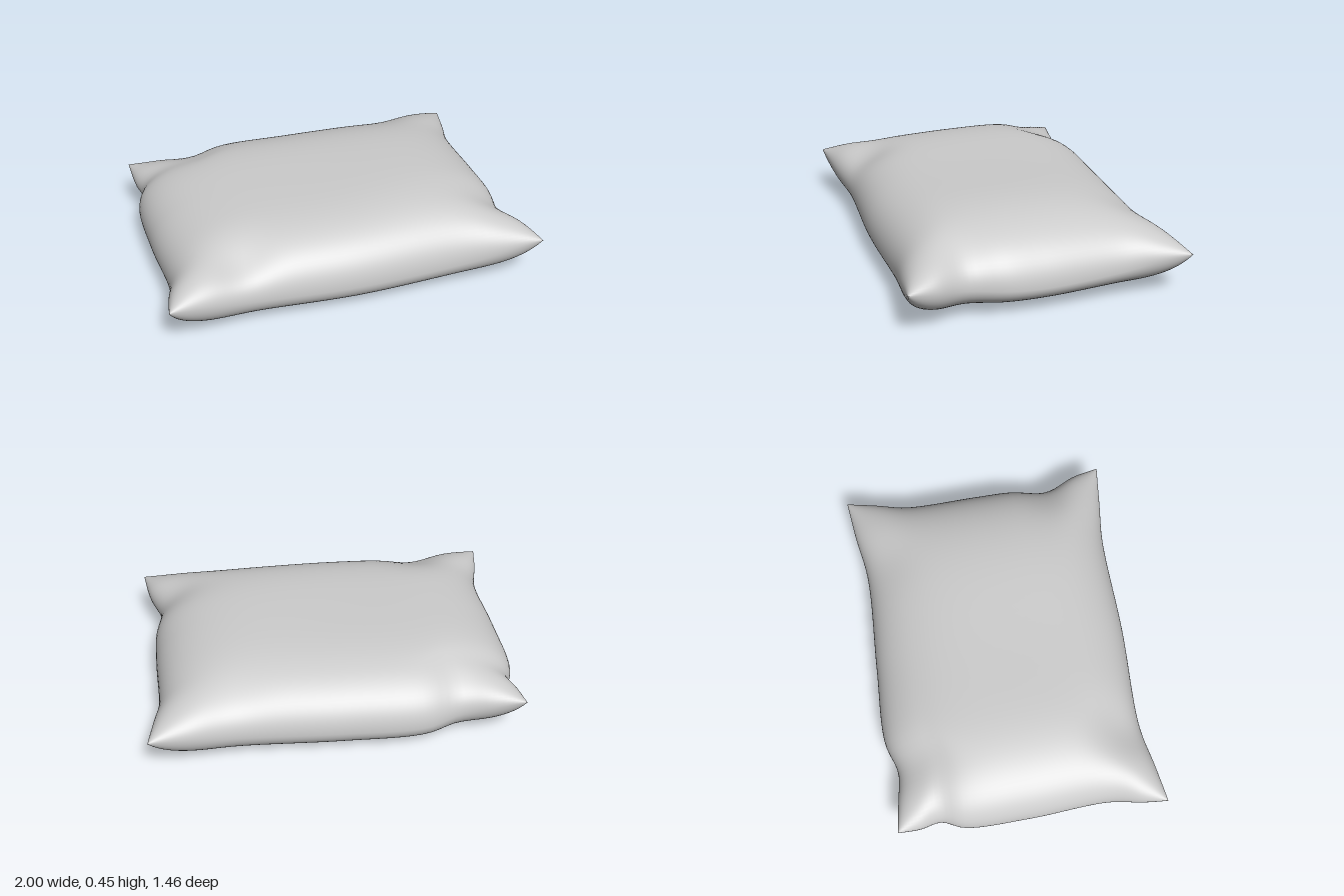
import * as THREE from 'three';
import { mergeVertices } from 'three/addons/utils/BufferGeometryUtils.js';

const N = 56; // grid cells per side of each cloth panel

const curve = (points) =>
  new THREE.CatmullRomCurve3(points.map((p) => new THREE.Vector3(...p)), false, 'centripetal');

// Seam between the two panels: pinched near the corners, raised at the tips
const BL = [-0.94, 0.25, -0.7], BR = [1, 0.24, -0.735], FL = [-1, 0.25, 0.725], FR = [0.99, 0.25, 0.725];
const back = curve([BL, [-0.78, 0.21, -0.68], [-0.6, 0.17, -0.66], [-0.42, 0.15, -0.71],
  [0, 0.15, -0.7], [0.55, 0.17, -0.68], [0.8, 0.21, -0.715], BR]);
const front = curve([FL, [-0.8, 0.21, 0.7], [-0.56, 0.17, 0.667], [0, 0.15, 0.687],
  [0.55, 0.16, 0.682], [0.78, 0.2, 0.705], FR]);
const leftEdge = curve([BL, [-0.93, 0.21, -0.58], [-0.905, 0.18, -0.47], [-0.95, 0.16, -0.35],
  [-0.955, 0.15, 0], [-0.94, 0.17, 0.42], [-0.98, 0.22, 0.6], FL]);
const rightEdge = curve([BR, [0.97, 0.21, -0.57], [0.94, 0.17, -0.4], [0.945, 0.15, 0],
  [0.94, 0.16, 0.2], [0.905, 0.18, 0.41], [0.965, 0.22, 0.58], FR]);

// Rounded swelling: 0 on the seam, 1 in the middle
const swell = (u, v, pu, pv) =>
  Math.sqrt(Math.max(0, 1 - Math.abs(u) ** pu) * Math.max(0, 1 - Math.abs(v) ** pv));

const bump = (x, z, cx, cz, r) => Math.exp(-((x - cx) ** 2 + (z - cz) ** 2) / (r * r));

// Seam surface blended between the four edge curves
function seamSurface() {
  const params = Array.from({ length: N + 1 }, (_, i) => Math.sin((i / N - 0.5) * Math.PI));
  const sample = (c) => params.map((p) => c.getPointAt((p + 1) / 2));
  const [b, f, l, r] = [back, front, leftEdge, rightEdge].map(sample);
  const at = (i, j) => {
    const s = (params[i] + 1) / 2, t = (params[j] + 1) / 2;
    const mix = (k) => (1 - t) * b[i][k] + t * f[i][k] + (1 - s) * l[j][k] + s * r[j][k]
      - (1 - s) * (1 - t) * b[0][k] - s * (1 - t) * b[N][k]
      - (1 - s) * t * f[0][k] - s * t * f[N][k];
    return [mix('x'), mix('y'), mix('z'), params[i], params[j]];
  };
  return at;
}

// Upper panel: plump, higher on one side, with soft dents inside the corners
function topHeight(x, y, z, u, v) {
  const crown = 0.43 + 0.023 * bump(x, z, 0.5, 0.1, 0.5) + 0.006 * bump(x, z, -0.5, 0, 0.4);
  const f = swell(u, v, 5.2, v > 0 ? 4.6 : 4);
  const dent = 0.055 * bump(x, z, -0.6, 0.58, 0.16) + 0.02 * bump(x, z, -0.62, -0.58, 0.14)
    + 0.02 * bump(x, z, 0.85, 0.42, 0.14) + 0.015 * bump(x, z, 0.56, -0.58, 0.16);
  return y + (crown - y - dent) * f;
}

// Lower panel: nearly flat, slightly bowed, with tight rounded edges
function bottomHeight(x, y, z, u, v) {
  const base = 0.003 + 0.04 * u * u + 0.025 * v * v;
  return y + (base - y) * swell(u, v, 9, 8);
}

function pillowGeometry() {
  const at = seamSurface();
  const positions = [], index = [];
  for (const height of [topHeight, bottomHeight]) {
    const start = positions.length / 3;
    for (let j = 0; j <= N; j++) {
      for (let i = 0; i <= N; i++) {
        const [x, y, z, u, v] = at(i, j);
        positions.push(x, height(x, y, z, u, v), z);
      }
    }
    for (let j = 0; j < N; j++) {
      for (let i = 0; i < N; i++) {
        const a = start + j * (N + 1) + i, b = a + N + 1;
        if (height === topHeight) index.push(a, b, a + 1, a + 1, b, b + 1);
        else index.push(a, a + 1, b, a + 1, b + 1, b);
      }
    }
  }
  const geometry = new THREE.BufferGeometry();
  geometry.setAttribute('position', new THREE.Float32BufferAttribute(positions, 3));
  geometry.setIndex(index);
  // Weld the panels along the seam so the shading is continuous
  const welded = mergeVertices(geometry, 1e-5);
  welded.computeVertexNormals();
  return welded;
}

export function createModel() {
  const group = new THREE.Group();
  group.name = 'pillow';
  const cushion = new THREE.Mesh(pillowGeometry(), new THREE.MeshStandardMaterial({ color: 0xcccccc }));
  cushion.name = 'cushion';
  group.add(cushion);
  return group;
}
